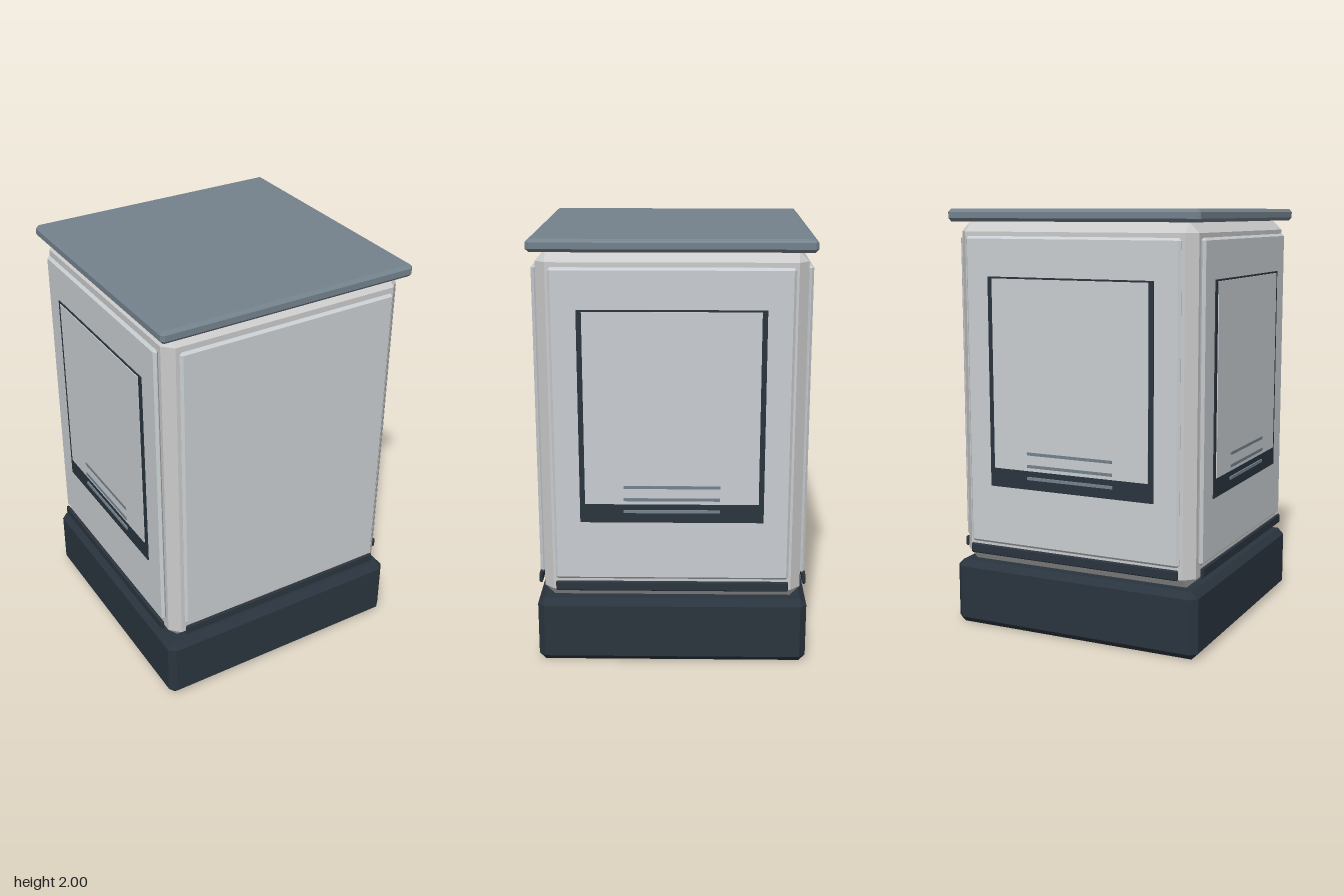
import * as THREE from 'three';
import { ConvexGeometry } from 'three/addons/geometries/ConvexGeometry.js';

const mat = (color) => new THREE.MeshStandardMaterial({ color, flatShading: true });

// Box between two corners with every edge bevelled by c
function bevelBox(name, material, min, max, c) {
  const centre = min.map((v, i) => (v + max[i]) / 2);
  const half = min.map((v, i) => (max[i] - v) / 2);
  const points = [];
  for (const sx of [-1, 1]) for (const sy of [-1, 1]) for (const sz of [-1, 1]) {
    for (let axis = 0; axis < 3; axis++) {
      const p = [sx, sy, sz].map((s, i) => centre[i] + s * (half[i] - (i === axis ? 0 : c)));
      points.push(new THREE.Vector3(...p));
    }
  }
  const mesh = new THREE.Mesh(new ConvexGeometry(points), material);
  mesh.name = name;
  return mesh;
}

// Plain box between two corners
function plate(name, material, min, max) {
  const mesh = new THREE.Mesh(
    new THREE.BoxGeometry(max[0] - min[0], max[1] - min[1], max[2] - min[2]), material);
  mesh.position.set(...min.map((v, i) => (v + max[i]) / 2));
  mesh.name = name;
  return mesh;
}

export function createModel() {
  const model = new THREE.Group();
  model.name = 'kiosk';
  const light = mat(0xcccccc);
  const panelGrey = mat(0xc9ced2);
  const slate = mat(0x74828d);
  const dark = mat(0x2a343e);

  // Stacked main blocks
  model.add(
    bevelBox('base', dark, [-0.631, 0, -0.631], [0.631, 0.316, 0.631], 0.03),
    bevelBox('body', light, [-0.6, 0.316, -0.6], [0.6, 1.942, 0.6], 0.046),
    bevelBox('roof', slate, [-0.633, 1.942, -0.633], [0.633, 2, 0.633], 0.015),
  );

  // Four sides, turned about the vertical axis; the front has no notice board
  ['front', 'left', 'back', 'right'].forEach((label, i) => {
    const side = new THREE.Group();
    side.name = label + 'Side';
    side.rotation.y = i * Math.PI / 2;
    side.add(
      bevelBox('panel', panelGrey, [-0.542, 0.42, 0.598], [0.542, 1.876, 0.623], 0.0115),
      bevelBox('trimStrip', dark, [-0.54, 0.364, 0.614], [0.54, 0.411, 0.63], 0.005),
    );
    if (label !== 'front') {
      side.add(
        plate('boardFrame', dark, [-0.42, 0.705, 0.618], [0.42, 1.692, 0.628]),
        plate('boardFace', panelGrey, [-0.396, 0.795, 0.626], [0.396, 1.684, 0.632]),
      );
      // Three thin lines across the foot of the board
      for (const y of [0.76, 0.818, 0.877]) {
        side.add(plate('boardLine', slate, [-0.22, y - 0.007, 0.627], [0.22, y + 0.007, 0.635]));
      }
    }
    model.add(side);
  });
  return model;
}
